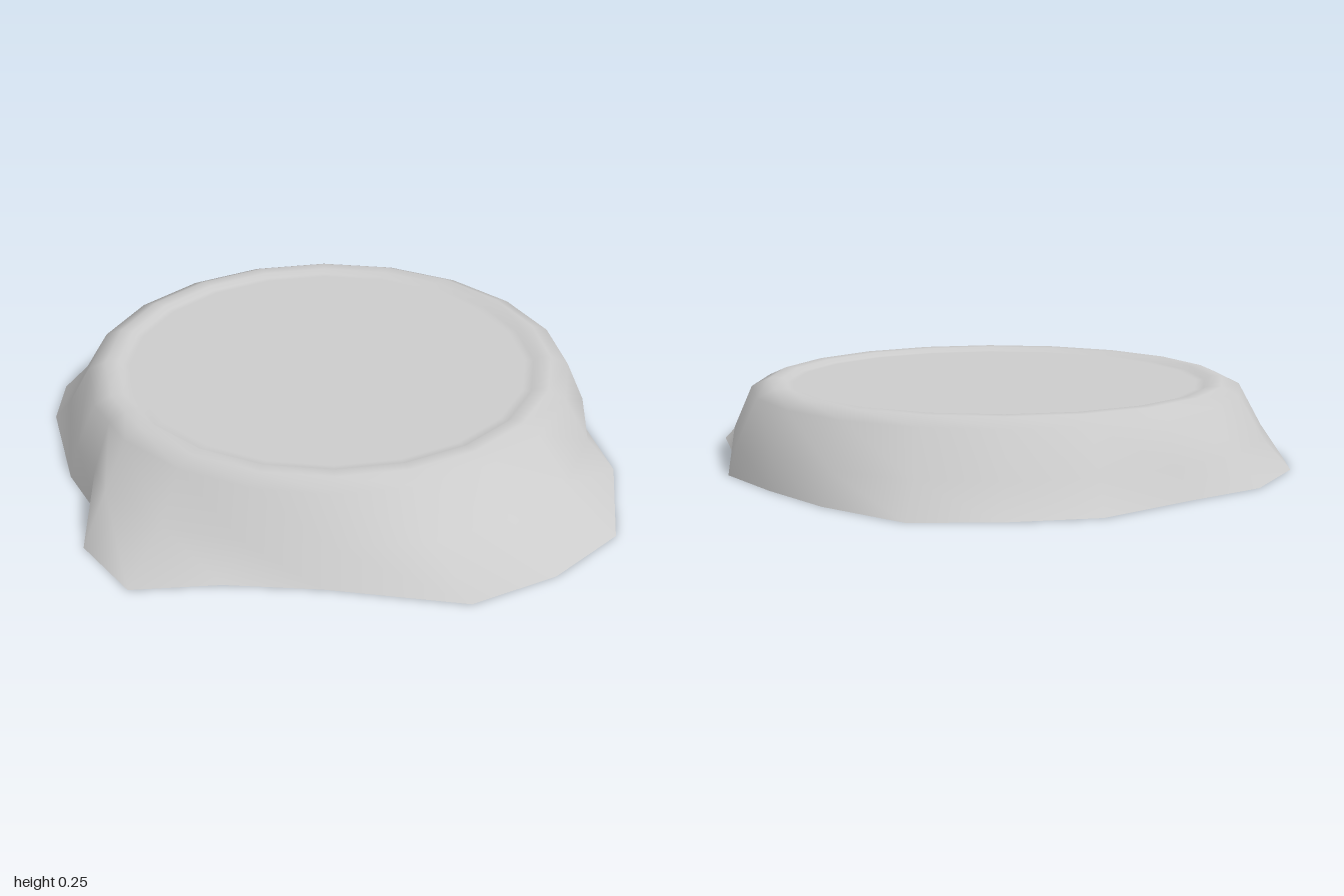
import * as THREE from 'three';

const CX = 0.02, CZ = -0.07, SIDES = 20;

// Ground outline, clockwise from the back; one entry per column
const outline = [
  [0.05, -1], [0.33, -0.955], [0.57, -0.87], [0.73, -0.61], [0.82, -0.36],
  [0.885, -0.11], [0.805, 0.19], [0.77, 0.48], [0.605, 0.82], [0.35, 0.95],
  [0.07, 0.995], [-0.3, 0.79], [-0.56, 0.675], [-0.82, 0.61], [-0.89, 0.36],
  [-0.81, 0.2], [-0.84, -0.04], [-0.805, -0.42], [-0.73, -0.61], [-0.52, -0.81], [-0.26, -0.89],
];
// Column 15 is an extra crease halfway between two corners of the rim
const steps = outline.map((_, i) => (i < 15 ? i : i === 15 ? 14.5 : i - 1));

function corner(step, r) {
  const a = (step / SIDES) * Math.PI * 2;
  return [CX + r * Math.sin(a), CZ - r * Math.cos(a)];
}

function rimPoint(step, r) {
  const f = step % 1, p = corner(Math.floor(step), r), q = corner(Math.ceil(step), r);
  return [p[0] + (q[0] - p[0]) * f, p[1] + (q[1] - p[1]) * f];
}

// Surface through rings given as [radius, height, blend towards the outline]
function ringSurface(rings) {
  const n = outline.length, pos = [], index = [];
  for (const [r, y, t] of rings) {
    outline.forEach((o, j) => {
      const p = rimPoint(steps[j], r);
      pos.push(p[0] + (o[0] - p[0]) * t, y, p[1] + (o[1] - p[1]) * t);
    });
  }
  for (let i = 0; i < rings.length - 1; i++) {
    for (let j = 0; j < n; j++) {
      const k = (j + 1) % n;
      const a = i * n + j, c = i * n + k, b = a + n, d = c + n;
      index.push(a, c, b, c, d, b);
    }
  }
  const g = new THREE.BufferGeometry();
  g.setAttribute('position', new THREE.Float32BufferAttribute(pos, 3));
  g.setIndex(index);
  g.computeVertexNormals();
  return g;
}

export function createModel() {
  const group = new THREE.Group();
  group.name = 'mound';
  const material = new THREE.MeshStandardMaterial({ color: 0xcccccc, side: THREE.DoubleSide });
  const add = (name, geometry) => {
    const mesh = new THREE.Mesh(geometry, material);
    mesh.name = name;
    group.add(mesh);
    return mesh;
  };

  // Irregular skirt flaring to the ground, with a rounded lip on top
  add('skirt', ringSurface([
    [0.63, 0.233, 0], [0.655, 0.233, 0], [0.67, 0.245, 0], [0.71, 0.245, 0],
    [0.765, 0.22, 0], [0.82, 0.09, 0.2], [0.9, 0, 1],
  ]));

  // Flat, slightly sunken top
  const top = add('topDisc', new THREE.CircleGeometry(0.63, SIDES).rotateX(-Math.PI / 2));
  top.position.set(CX, 0.233, CZ);

  return group;
}
